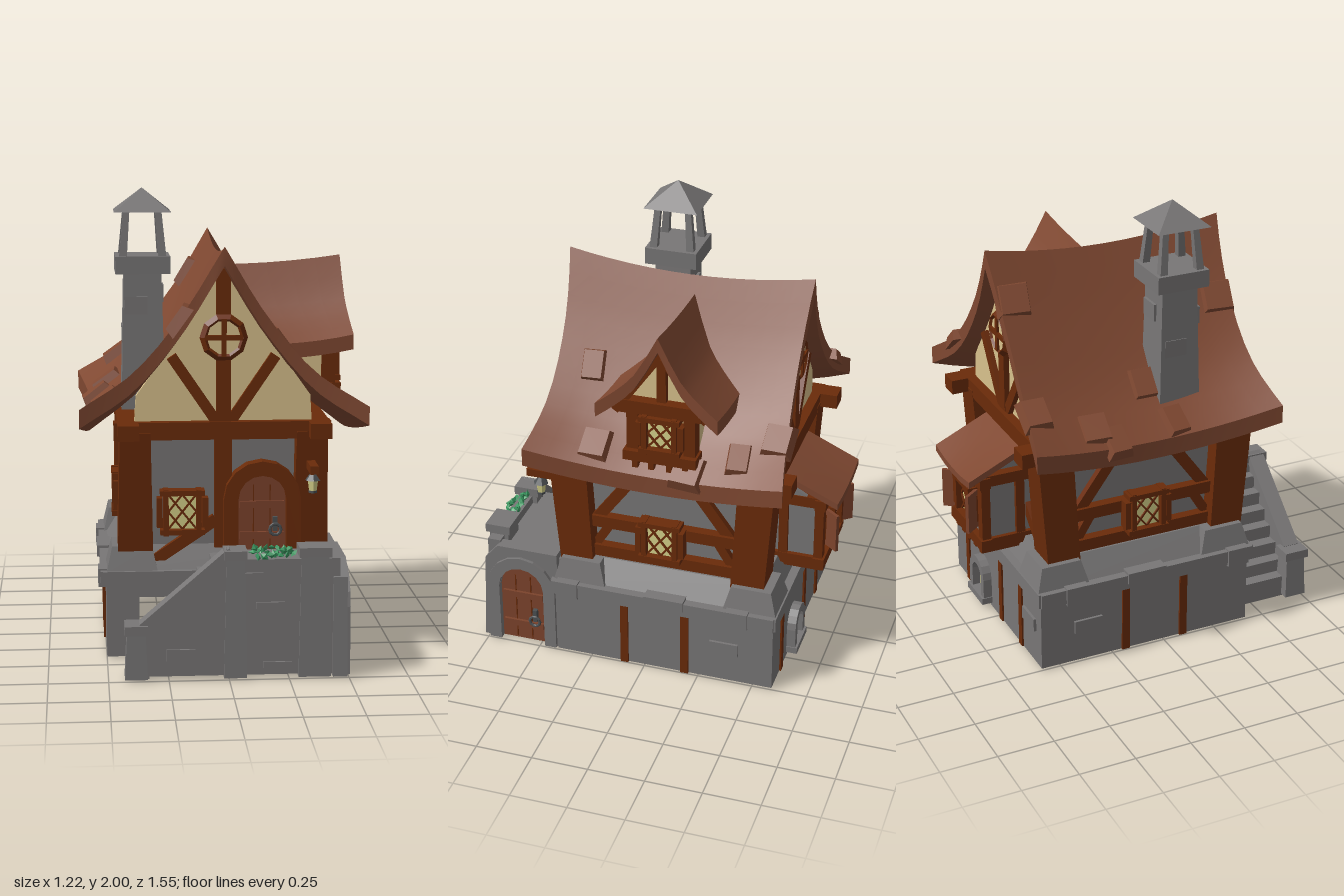
import * as THREE from 'three';
import { toCreasedNormals } from 'three/addons/utils/BufferGeometryUtils.js';

const mat = (name, color, flat = true) => {
  const m = new THREE.MeshStandardMaterial({ color });
  m.name = name; m.flatShading = flat;
  return m;
};
const stone = mat('stone', 0x787676), timber = mat('timber', 0x6a2b09), roofing = mat('roofing', 0x7f4831, false);
const plaster = mat('cream plaster', 0xd8c18c), glass = mat('yellow glass', 0xd6d28a), planks = mat('door planks', 0x7c432c);
const metal = mat('dark metal', 0x4c5052), leaf = mat('leaf green', 0x3a9860);

function add(p, name, geo, m, x = 0, y = 0, z = 0) {
  const mesh = new THREE.Mesh(geo, m);
  mesh.name = name; mesh.position.set(x, y, z);
  p.add(mesh);
  return mesh;
}
const box = (p, name, m, w, h, d, x, y, z) => add(p, name, new THREE.BoxGeometry(w, h, d), m, x, y, z);

// Box from y0 to y1 whose top is resized and shifted
function taper(p, name, m, [w0, d0], [w1, d1], y0, y1, x, z, dx = 0, dz = 0) {
  const g = new THREE.BoxGeometry(w0, y1 - y0, d0), a = g.attributes.position;
  for (let i = 0; i < a.count; i++) if (a.getY(i) > 0) {
    a.setX(i, a.getX(i) * w1 / w0 + dx);
    a.setZ(i, a.getZ(i) * d1 / d0 + dz);
  }
  g.computeVertexNormals();
  return add(p, name, g, m, x, (y0 + y1) / 2, z);
}
// Straight bar between two points of a wall plane
function beam(p, name, x1, y1, x2, y2, w, d, z, m = timber) {
  const b = box(p, name, m, Math.hypot(x2 - x1, y2 - y1), w, d, (x1 + x2) / 2, (y1 + y2) / 2, z);
  b.rotation.z = Math.atan2(y2 - y1, x2 - x1);
  return b;
}
function group(p, name, x, y, z, ry = 0) {
  const g = new THREE.Group();
  g.name = name; g.position.set(x, y, z); g.rotation.y = ry;
  p.add(g);
  return g;
}
const extrude = (pts, depth) => new THREE.ExtrudeGeometry(new THREE.Shape(pts.map(q => new THREE.Vector2(...q))), { depth, bevelEnabled: false });
function archPts(w, h, n = 8) {
  const pts = [[-w / 2, 0]];
  for (let i = 0; i <= n; i++) {
    const a = Math.PI * (1 - i / n);
    pts.push([Math.cos(a) * w / 2, h - w / 2 + Math.sin(a) * w / 2]);
  }
  return [...pts, [w / 2, 0]];
}
const archRing = (w, h, t, d) => extrude([...archPts(w, h), ...archPts(w - 2 * t, h - t).reverse()], d);

// Curved slab: fn(u, v) gives the top surface, u -1..1 across, v 0..1 along
function slab(fn, nu, nv, drop) {
  const pos = [], idx = [], N = (nu + 1) * (nv + 1), id = (i, j) => i * (nv + 1) + j;
  for (const k of [0, drop]) for (let i = 0; i <= nu; i++) for (let j = 0; j <= nv; j++) {
    const [x, y, z] = fn(i / nu * 2 - 1, j / nv);
    pos.push(x, y - k, z);
  }
  for (let i = 0; i < nu; i++) for (let j = 0; j < nv; j++) {
    const a = id(i, j), b = id(i, j + 1), c = id(i + 1, j + 1), d = id(i + 1, j);
    idx.push(a, b, c, a, c, d, a + N, c + N, b + N, a + N, d + N, c + N);
  }
  const skirt = (p, q) => idx.push(q, p, p + N, q, p + N, q + N);
  for (let j = 0; j < nv; j++) { skirt(id(0, j), id(0, j + 1)); skirt(id(nu, j + 1), id(nu, j)); }
  for (let i = 0; i < nu; i++) { skirt(id(i, nv), id(i + 1, nv)); skirt(id(i + 1, 0), id(i, 0)); }
  const g = new THREE.BufferGeometry();
  g.setAttribute('position', new THREE.Float32BufferAttribute(pos, 3));
  g.setIndex(idx);
  return toCreasedNormals(g, 0.6);
}
const curve = pts => new THREE.CatmullRomCurve3(pts.map(q => new THREE.Vector3(q[0], q[1], 0)));
const midRoof = curve([[0, 1.72], [0.16, 1.45], [0.35, 1.19], [0.55, 1.025]]);
const endRoof = curve([[0, 1.775], [0.175, 1.49], [0.385, 1.245], [0.61, 1.1]]);
function roofAt(u, v) {
  const s = Math.abs(u), t = 2 * v - 1, p = midRoof.getPoint(s).lerp(endRoof.getPoint(s), t * t);
  const bow = 4 * s * (1 - s);
  const front = 0.485 + 0.015 * s - 0.04 * bow, back = -0.605 - 0.035 * s + 0.03 * bow;
  return [Math.sign(u) * p.x, p.y, back + (front - back) * v];
}
const dormerRoof = curve([[0, 1.67], [0.1, 1.49], [0.18, 1.41], [0.265, 1.345]]);
function dormerAt(u, v) {
  const s = Math.abs(u), p = dormerRoof.getPoint(s);
  return [0.2 * s + v * (0.555 - 0.17 * s), p.y - 0.02 + 0.04 * v * v, -0.09 - Math.sign(u) * p.x];
}

// Lattice window facing local +z
function latticeWindow(p, x, y, z, w = 0.12, h = 0.15) {
  const g = group(p, 'window', x, y, z), a = w / 2, b = h / 2;
  box(g, 'windowPane', glass, w, h, 0.02, 0, 0, 0);
  for (const s of [-1, 1]) {
    box(g, 'windowJamb', timber, 0.022, h + 0.05, 0.06, s * (a + 0.01), 0, 0.01);
    box(g, 'windowSidePost', timber, 0.025, h * 0.85, 0.05, s * (a + 0.037), 0, 0.01);
    box(g, 'windowRail', timber, w + 0.07, 0.022, 0.065, 0, s * (b + 0.01), 0.01);
    beam(g, 'lattice', -a, -s * b, a, s * b, 0.008, 0.008, 0.014);
    for (const t of [-1, 1]) beam(g, 'lattice', s * a, 0, 0, t * b, 0.008, 0.008, 0.014);
  }
}
// Arched plank door facing local +z
function plankDoor(p, x, y, z, w, h) {
  const g = group(p, 'door', x, y, z);
  add(g, 'doorLeaf', extrude(archPts(w, h), 0.03), planks);
  for (const k of [0.22, 0.62]) box(g, 'doorStrap', planks, w * 0.9, 0.03, 0.012, 0, h * k, 0.036);
  for (const k of [-0.17, 0.17]) box(g, 'doorSeam', timber, 0.005, h * 0.85, 0.004, w * k, h * 0.45, 0.031);
  add(g, 'doorRing', new THREE.TorusGeometry(0.024, 0.007, 6, 10), metal, w * 0.27, h * 0.3, 0.05);
  box(g, 'doorPlate', metal, 0.02, 0.06, 0.02, w * 0.27, h * 0.37, 0.04);
}

function buildBase(m) {
  const g = group(m, 'stoneBase', 0, 0, 0);
  for (const s of [-1, 1]) {
    box(g, 'baseSideWall', stone, 0.03, 0.36, 1.0, s * 0.485, 0.19, -0.09);
    box(g, 'sideLedge', stone, 0.06, 0.065, 1.02, s * 0.495, 0.355, -0.085);
    box(g, 'endLedge', stone, 1.03, 0.065, 0.06, 0, 0.355, s > 0 ? 0.4 : -0.575);
    for (const z of [0.3, -0.48]) {
      taper(g, 'cornerPad', stone, [0.22, 0.24], [0.17, 0.18], 0.38, 0.49, s * 0.39, z);
      box(g, 'ledgeBlock', stone, 0.08, 0.08, 0.1, s * 0.495, 0.355, z + 0.05);
    }
    for (const z of [0.09, -0.19]) box(g, 'baseStrut', timber, 0.02, 0.31, 0.035, s * 0.5, 0.165, z);
    box(g, 'wallBrick', stone, 0.02, 0.06, 0.13, s * 0.502, 0.18, -0.37);
    box(g, 'wallBrick', stone, 0.09, 0.05, 0.18, s * 0.49, 0.375, -0.1);
  }
  // The front is walled only beside the stair; the porch closes the rest
  box(g, 'baseBackWall', stone, 0.98, 0.36, 0.03, 0, 0.19, -0.575);
  box(g, 'baseFrontWall', stone, 0.14, 0.36, 0.03, -0.43, 0.19, 0.395);
  box(g, 'baseCeiling', stone, 0.96, 0.03, 0.96, 0, 0.36, -0.09);
  taper(g, 'slopedPlinth', stone, [0.98, 0.98], [0.84, 0.88], 0.38, 0.49, 0, -0.08);
  for (const x of [-0.28, -0.05, 0.35]) box(g, 'baseStrut', timber, 0.035, 0.31, 0.02, x, 0.165, -0.588);
  box(g, 'wallBrick', stone, 0.13, 0.06, 0.02, -0.38, 0.2, -0.592);
  const cellar = group(g, 'cellarWindow', 0.16, 0.045, -0.585, Math.PI);
  add(cellar, 'cellarArch', archRing(0.17, 0.19, 0.035, 0.045), stone);
  add(cellar, 'cellarPane', extrude(archPts(0.1, 0.155), 0.01), glass);
  box(cellar, 'cellarBar', timber, 0.01, 0.145, 0.012, 0, 0.075, 0.012);
  box(cellar, 'cellarSill', stone, 0.18, 0.03, 0.06, 0, 0, 0.025);
}

function buildPorch(m) {
  const g = group(m, 'porch', 0, 0, 0);
  // Stair and landing
  for (let i = 0; i < 7; i++) box(g, 'stairStep', stone, 0.06, 0.1, 0.3, -0.36 + i * 0.055, 0.05 + i * 0.06, 0.56);
  box(g, 'landing', stone, 0.46, 0.05, 0.34, 0.23, 0.445, 0.56);
  add(g, 'stairWall', extrude([[-0.36, 0], [0.46, 0], [0.46, 0.49], [0.02, 0.49], [0, 0.54], [-0.36, 0.23]], 0.06), stone, 0, 0.02, 0.685);
  beam(g, 'stairCoping', -0.36, 0.23, 0.0, 0.54, 0.035, 0.075, 0.715, stone);
  // Pillars: x, width, height
  for (const [x, w, h] of [[-0.385, 0.085, 0.22], [0.025, 0.085, 0.53], [0.355, 0.125, 0.54]]) {
    taper(g, 'pillar', stone, [w + 0.01, 0.1], [w - 0.01, 0.09], 0.01, h, x, 0.71);
    box(g, 'pillarCap', stone, w + 0.01, 0.04, 0.115, x, h, 0.712);
  }
  for (const [x, y, w, h] of [[0.17, 0.3, 0.12, 0.06], [-0.2, 0.11, 0.12, 0.05], [0.2, 0.05, 0.12, 0.05], [0.1, 0.43, 0.08, 0.05]])
    box(g, 'wallBrick', stone, w, h, 0.02, x, y, 0.745);
  // Cellar entrance on the side
  const side = group(g, 'cellarEntrance', 0.43, 0.01, 0.578, Math.PI / 2);
  add(side, 'entranceWall', extrude([[-0.19, 0], [-0.17, 0.42], [-0.11, 0.49], [0.17, 0.49], [0.18, 0], ...archPts(0.21, 0.39).reverse()], 0.06), stone);
  add(side, 'entranceArch', archRing(0.32, 0.45, 0.055, 0.025), stone, 0, 0, 0.05);
  plankDoor(side, 0, 0, 0.015, 0.21, 0.39);
  // Trailing plants
  for (let i = 0; i < 20; i++) {
    const l = add(g, 'plantLeaf', new THREE.OctahedronGeometry(0.021), leaf, 0.1 + 0.0088 * i, 0.535 + 0.014 * Math.sin(i * 2.3), 0.715 + 0.03 * Math.sin(i * 4.1));
    l.scale.set(1, 0.45, 0.8); l.rotation.set(i, i * 2, i * 0.7);
  }
}

// Framing of a long side wall
function buildSide(m, s) {
  const g = group(m, 'sideFraming', s * 0.38, 0, -0.06, s * Math.PI / 2);
  for (const y of [0.52, 0.67]) beam(g, 'sideRail', -0.36, y, 0.36, y, 0.055, 0.07, 0);
  for (const k of [-1, 1]) {
    beam(g, 'sideBrace', k * 0.31, 0.67, k * 0.09, 0.97, 0.05, 0.04, 0);
    beam(g, 'lowerBrace', k * 0.32, 0.53, k * 0.24, 0.66, 0.04, 0.04, 0);
  }
  beam(g, 'wallPlate', -0.58, 1.0, 0.58, 1.0, 0.065, 0.09, 0.025);
  latticeWindow(g, 0, 0.64, 0.045);
}

// Gable end with its plaster, king post and round window
function buildGable(m, z, ry) {
  const g = group(m, 'gableEnd', 0, 0, z, ry);
  add(g, 'gablePlaster', extrude([[-0.38, 0.98], [0.38, 0.98], [0.37, 1.14], [0.17, 1.42], [0, 1.69], [-0.17, 1.42], [-0.37, 1.14]], 0.03), plaster);
  beam(g, 'tieBeam', -0.465, 0.995, 0.455, 0.995, 0.075, 0.075, 0.035);
  beam(g, 'kingPost', 0, 1.02, 0, 1.68, 0.06, 0.05, 0.03);
  for (const s of [-1, 1]) beam(g, 'gableBrace', s * 0.03, 1.03, s * 0.22, 1.31, 0.045, 0.045, 0.03);
  beam(g, 'wallPost', 0, 0.48, 0, 0.97, 0.075, 0.06, 0);
  add(g, 'roundPane', new THREE.CylinderGeometry(0.08, 0.08, 0.07, 12), plaster, 0, 1.39, 0.03).rotation.x = Math.PI / 2;
  add(g, 'roundFrame', new THREE.TorusGeometry(0.082, 0.02, 4, 10), timber, 0, 1.39, 0.055);
  beam(g, 'roundBar', -0.08, 1.39, 0.08, 1.39, 0.022, 0.02, 0.065);
  beam(g, 'roundBar', 0, 1.31, 0, 1.47, 0.022, 0.02, 0.065);
  return g;
}

function buildDormer(m) {
  add(m, 'dormerRoof', slab(dormerAt, 12, 5, 0.065), roofing);
  const g = group(m, 'dormer', 0, 0, -0.09, Math.PI / 2);
  box(g, 'dormerBody', plaster, 0.28, 0.26, 0.3, 0, 1.22, 0.34);
  add(g, 'dormerGable', extrude([[-0.19, 1.33], [0.19, 1.33], [0.09, 1.47], [0, 1.62]], 0.28), plaster, 0, 0, 0.2);
  beam(g, 'dormerTie', -0.18, 1.34, 0.18, 1.34, 0.06, 0.06, 0.5);
  beam(g, 'dormerSill', -0.16, 1.115, 0.16, 1.115, 0.045, 0.09, 0.5);
  beam(g, 'dormerKingPost', 0, 1.35, 0, 1.62, 0.04, 0.04, 0.49);
  for (const s of [-1, 1]) {
    box(g, 'dormerPost', timber, 0.05, 0.24, 0.06, s * 0.125, 1.22, 0.49);
    beam(g, 'dormerRafter', s * 0.2, 1.31, s * 0.01, 1.58, 0.035, 0.05, 0.5);
    for (const k of [0.04, 0.11]) box(g, 'dormerBracket', timber, 0.025, 0.05, 0.07, s * k, 1.08, 0.5);
  }
  latticeWindow(g, 0, 1.225, 0.51, 0.11, 0.13);
}

function buildBay(m) {
  const g = group(m, 'bayWindow', 0, 0, -0.48, Math.PI);
  box(g, 'bayBody', stone, 0.31, 0.32, 0.24, 0, 0.64, 0.1);
  for (const s of [-1, 1]) {
    for (const z of [0.06, 0.22]) box(g, 'bayPost', timber, 0.045, 0.34, 0.04, s * 0.15, 0.64, z);
    box(g, 'baySideRail', timber, 0.05, 0.05, 0.25, s * 0.15, 0.79, 0.12);
    box(g, 'baySideSill', timber, 0.05, 0.05, 0.25, s * 0.15, 0.485, 0.12);
    box(g, 'shutter', planks, 0.085, 0.18, 0.015, s * 0.12, 0.635, 0.265).rotation.y = -s * 0.9;
    // Cheek filling the slope under the bay roof
    add(g, 'bayCheek', extrude([[0, 0.78], [0.22, 0.78], [0.02, 0.9], [0, 0.9]], 0.02), stone, s * 0.14 - 0.01, 0, 0).rotation.y = -Math.PI / 2;
  }
  for (const y of [0.485, 0.785]) box(g, 'bayRail', timber, 0.37, 0.05, 0.05, 0, y, 0.225);
  for (let i = -2; i <= 2; i++) box(g, 'bayBracket', timber, 0.03, 0.04, 0.22, i * 0.07, 0.455, 0.13);
  latticeWindow(g, 0, 0.635, 0.23);
  add(m, 'bayRoof', slab((u, v) => [-u * 0.2, 0.95 - 0.15 * v + 0.02 * u * u * v, -0.5 - 0.285 * v], 4, 3, 0.03), roofing);
}

function buildChimney(m) {
  const g = group(m, 'chimney', -0.33, 0, 0.1);
  taper(g, 'chimneyStack', stone, [0.19, 0.19], [0.16, 0.16], 1.05, 1.66, 0, 0);
  box(g, 'chimneyCollar', stone, 0.235, 0.075, 0.235, 0, 1.675, 0);
  for (const [x, y, z] of [[-0.03, 1.5, 0.08], [-0.075, 1.37, -0.02], [0.02, 1.52, -0.08], [0.075, 1.55, 0.02]])
    box(g, 'chimneyBrick', stone, 0.1, 0.075, 0.03, x, y, z).rotation.y = Math.abs(x) > 0.05 ? Math.PI / 2 : 0;
  for (const x of [-1, 1]) for (const z of [-1, 1])
    taper(g, 'cowlPost', stone, [0.034, 0.034], [0.026, 0.026], 1.7, 1.92, x * 0.085, z * 0.085, -x * 0.018, -z * 0.018);
  add(g, 'cowlRoof', new THREE.ConeGeometry(0.172, 0.1, 4, 1).rotateY(Math.PI / 4), stone, 0, 1.95, 0);
}

export function createModel() {
  const m = new THREE.Group();
  m.name = 'timberFramedHouse';
  buildBase(m);
  buildPorch(m);
  // Upper storey walls and corner posts
  box(m, 'upperWalls', stone, 0.74, 0.54, 0.84, 0, 0.74, -0.06);
  for (const s of [-1, 1]) {
    buildSide(m, s);
    taper(m, 'frontCornerPost', timber, [0.15, 0.15], [0.13, 0.17], 0.47, 0.99, s * 0.375, 0.325, 0, 0.04);
    taper(m, 'backCornerPost', timber, [0.15, 0.15], [0.13, 0.16], 0.47, 0.99, s * 0.375, -0.455, 0, -0.03);
  }
  const front = buildGable(m, 0.37, 0), back = buildGable(m, -0.49, Math.PI);
  // Front door, window and braces
  add(front, 'doorFrame', archRing(0.33, 0.38, 0.062, 0.07), timber, 0.165, 0.48, 0);
  plankDoor(front, 0.165, 0.46, 0, 0.21, 0.335);
  latticeWindow(front, -0.175, 0.64, 0.02);
  beam(front, 'frontBrace', -0.3, 0.42, -0.03, 0.6, 0.05, 0.04, 0);
  beam(back, 'backBrace', 0.31, 0.48, 0.12, 0.64, 0.05, 0.04, 0);
  // Lantern on its bracket
  const lamp = group(m, 'lantern', 0.37, 0, 0.515);
  box(lamp, 'lanternBracket', timber, 0.035, 0.035, 0.16, 0, 0.845, -0.02);
  add(lamp, 'lanternCap', new THREE.ConeGeometry(0.034, 0.045, 6), metal, 0, 0.815, 0);
  add(lamp, 'lanternGlass', new THREE.CylinderGeometry(0.024, 0.017, 0.05, 6), glass, 0, 0.77, 0);
  add(lamp, 'lanternFoot', new THREE.CylinderGeometry(0.02, 0.02, 0.01, 6), metal, 0, 0.744, 0);
  // Sagging roof with scattered raised tiles (x, z)
  add(m, 'mainRoof', slab(roofAt, 20, 12, 0.08), roofing);
  const tiles = [[-0.42, -0.57], [-0.12, -0.54], [-0.49, -0.32], [-0.54, -0.24], [-0.51, 0.04], [-0.37, -0.03], [-0.2, 0.41],
    [0.4, -0.57], [0.47, -0.41], [0.27, 0.31], [0.49, 0.21], [0.53, -0.2]];
  tiles.forEach(([x, z], i) => {
    const u = x / 0.565, v = (z + 0.61) / 1.08, a = roofAt(u - 0.04, v), b = roofAt(u + 0.04, v), c = roofAt(u, v);
    const d = 0.13 + 0.02 * Math.sin(i * 1.3);
    const t = taper(m, 'raisedTile', roofing, [0.15, d], [0.12, d - 0.03], 0, 0.05, c[0], c[2]);
    t.geometry = t.geometry.toNonIndexed();
    t.geometry.computeVertexNormals();
    t.position.y = c[1];
    t.rotation.set(0, 0.12 * Math.sin(i * 5), Math.atan2(b[1] - a[1], b[0] - a[0]));
  });
  buildDormer(m);
  buildBay(m);
  buildChimney(m);
  return m;
}
